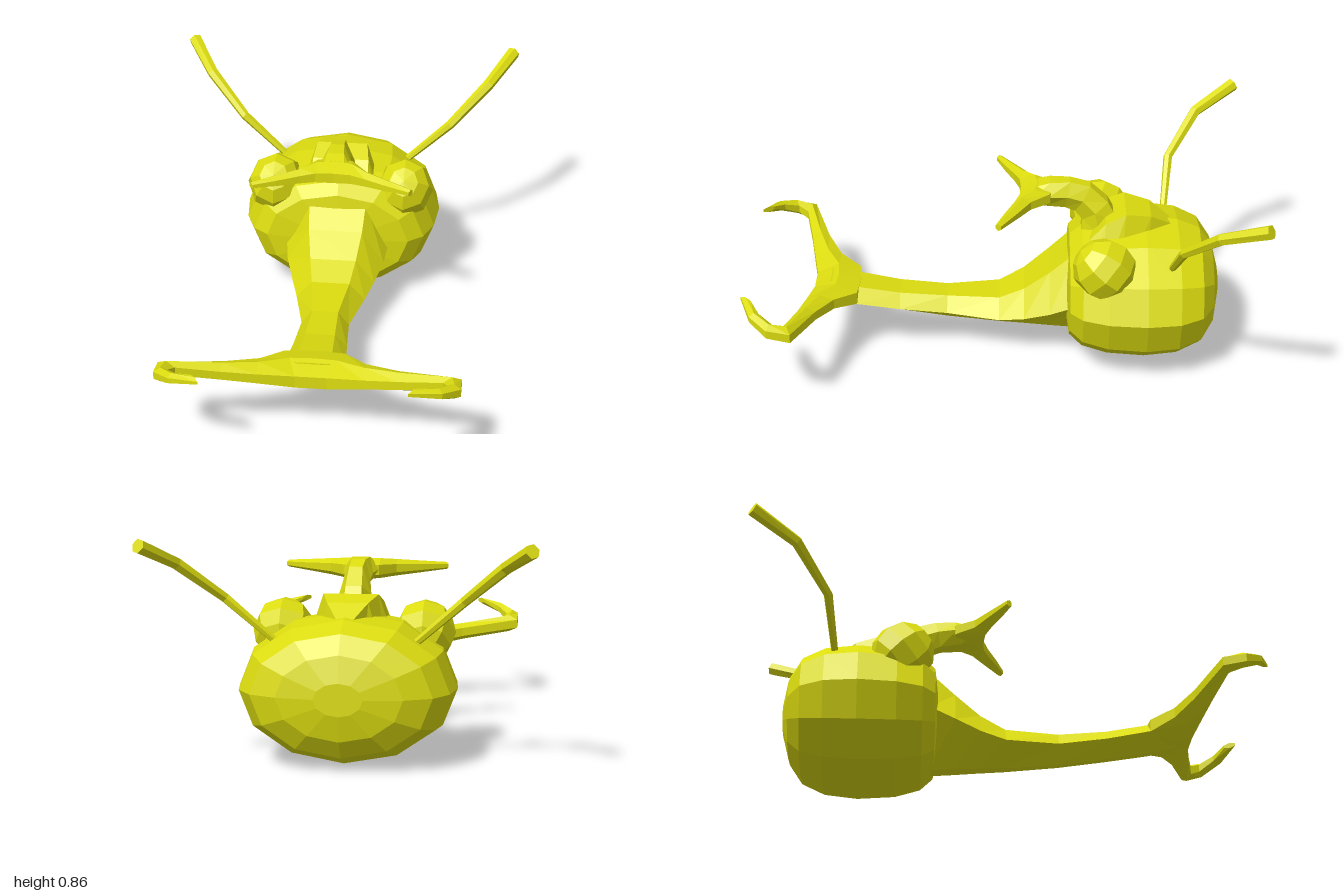
import * as THREE from 'three';

const yellow = new THREE.MeshStandardMaterial({ color: 0xdcdc10 });
const V = (x, y, z) => new THREE.Vector3(x, y, z);

// Flat-faced mesh
function facet(geometry, name) {
  const g = geometry.index ? geometry.toNonIndexed() : geometry;
  g.computeVertexNormals();
  const mesh = new THREE.Mesh(g, yellow);
  mesh.name = name;
  return mesh;
}

// Skin a list of equal-sized rings, cap both ends and face outward
function loft(rings, name) {
  const tris = [];
  const n = rings[0].length;
  for (let i = 0; i < rings.length - 1; i++) {
    const a = rings[i], b = rings[i + 1];
    for (let j = 0; j < n; j++) {
      const k = (j + 1) % n;
      tris.push([a[j], a[k], b[k]], [a[j], b[k], b[j]]);
    }
  }
  const first = rings[0], last = rings[rings.length - 1];
  for (let j = 1; j < n - 1; j++) {
    tris.push([first[0], first[j + 1], first[j]], [last[0], last[j], last[j + 1]]);
  }
  let volume = 0;
  const o = first[0];
  for (const [a, b, c] of tris) {
    volume += a.clone().sub(o).dot(b.clone().sub(o).cross(c.clone().sub(o)));
  }
  if (volume < 0) tris.forEach((t) => t.reverse());
  return facet(new THREE.BufferGeometry().setFromPoints(tris.flat()), name);
}

// Six-sided section between opposite edges a and b, bulging by u halfway
function section(a, b, u, ka = 0.5, kb = 0.5) {
  const m = a.clone().lerp(b, 0.5);
  const at = (p, s) => p.clone().addScaledVector(u, s);
  return [at(a, ka), at(m, 1), at(b, kb), at(b, -kb), at(m, -1), at(a, -ka)];
}

// Fore-and-aft shaft; rows: top z, top y, bottom z, bottom y, half width
const shaft = (rows, name, ka, kb) => loft(rows.map(([tz, ty, bz, by, w]) =>
  section(V(0, ty, tz), V(0, by, bz), V(w, 0, 0), ka, kb)), name);

// Symmetric fork; rows: back x, back z, front x, front z, bottom y, top y
function fork(rows, name) {
  const side = (s) => rows.map(([bx, bz, fx, fz, y0, y1]) => {
    const y = (y0 + y1) / 2;
    return section(V(s * bx, y, bz), V(s * fx, y, fz), V(0, (y1 - y0) / 2, 0));
  });
  return loft([...side(-1).reverse(), ...side(1).slice(1)], name);
}

// Tapered bent rod
function rod(points, radii, name) {
  const rings = points.map((p, i) => {
    const dir = points[Math.min(i + 1, points.length - 1)].clone()
      .sub(points[Math.max(i - 1, 0)]).normalize();
    const q = new THREE.Quaternion().setFromUnitVectors(V(0, 0, 1), dir);
    return Array.from({ length: 6 }, (_, j) => {
      const t = j * Math.PI / 3;
      return V(Math.cos(t), Math.sin(t), 0).multiplyScalar(radii[i]).applyQuaternion(q).add(p);
    });
  });
  return loft(rings, name);
}

export function createModel() {
  const model = new THREE.Group();
  model.name = 'hornedBeetleHead';

  // Head: twelve-sided rounded shell, rows are z and scale
  const headRows = [[-0.875, 0.22], [-0.85, 0.57], [-0.8, 0.82], [-0.71, 0.955],
    [-0.58, 1], [-0.43, 0.965], [-0.33, 0.87], [-0.28, 0.72], [-0.265, 0.35]];
  model.add(loft(headRows.map(([z, s]) => Array.from({ length: 12 }, (_, j) => {
    const t = j * Math.PI / 6;
    return V(0.41 * s * Math.sin(t), 0.29 - 0.28 * s * Math.cos(t), z);
  })), 'head'));

  // Lower horn, rising into the crest on the crown
  model.add(shaft([
    [-0.68, 0.555, -0.6, 0.2, 0.06], [-0.6, 0.605, -0.55, 0.15, 0.14],
    [-0.5, 0.625, -0.45, 0.1, 0.19], [-0.42, 0.59, -0.38, 0.085, 0.21],
    [-0.3, 0.46, -0.3, 0.08, 0.215], [-0.2, 0.37, -0.2, 0.087, 0.2],
    [-0.1, 0.29, -0.1, 0.094, 0.17], [0, 0.24, 0, 0.1, 0.14],
    [0.21, 0.235, 0.21, 0.12, 0.095], [0.4, 0.25, 0.4, 0.15, 0.105],
    [0.57, 0.28, 0.57, 0.18, 0.118], [0.68, 0.3, 0.68, 0.205, 0.12],
  ], 'lowerHorn', 0.55, 0.15));

  // Fork of the lower horn, with inward hooks
  model.add(fork([
    [0, 0.56, 0, 0.742, 0.205, 0.305], [0.115, 0.57, 0.06, 0.742, 0.205, 0.305],
    [0.2, 0.655, 0.2, 0.765, 0.235, 0.315], [0.33, 0.715, 0.33, 0.787, 0.26, 0.33],
    [0.565, 0.79, 0.495, 0.82, 0.29, 0.36], [0.565, 0.88, 0.515, 0.86, 0.312, 0.375],
    [0.5, 0.95, 0.475, 0.915, 0.35, 0.395], [0.38, 0.995, 0.41, 0.953, 0.388, 0.412],
  ], 'lowerFork'));

  // Upper horn stem and its fork
  model.add(shaft([
    [-0.47, 0.57, -0.32, 0.47, 0.07], [-0.43, 0.645, -0.33, 0.57, 0.062],
    [-0.36, 0.71, -0.3, 0.605, 0.052], [-0.28, 0.73, -0.26, 0.622, 0.055],
    [-0.2, 0.73, -0.18, 0.632, 0.07], [-0.12, 0.71, -0.12, 0.642, 0.08],
  ], 'upperHorn', 0.5, 0.5));
  model.add(fork([
    [0, -0.22, 0, -0.085, 0.635, 0.72], [0.07, -0.2, 0.07, -0.08, 0.64, 0.718],
    [0.13, -0.125, 0.13, -0.06, 0.645, 0.71], [0.22, -0.072, 0.22, -0.022, 0.653, 0.7],
    [0.325, -0.008, 0.31, 0.012, 0.662, 0.69],
  ], 'upperFork'));

  // Eyes and antennae
  for (const [s, name] of [[1, 'left'], [-1, 'right']]) {
    const eye = facet(new THREE.SphereGeometry(0.125, 8, 6), name + 'Eye');
    eye.scale.x = 0.95;
    eye.rotation.x = 0.85;
    eye.position.set(s * 0.27, 0.472, -0.41);
    model.add(eye);
    model.add(rod([V(s * 0.26, 0.47, -0.673), V(s * 0.44, 0.63, -0.7),
      V(s * 0.595, 0.77, -0.82), V(s * 0.695, 0.85, -0.985)],
    [0.014, 0.019, 0.024, 0.028], name + 'Antenna'));
  }
  return model;
}
